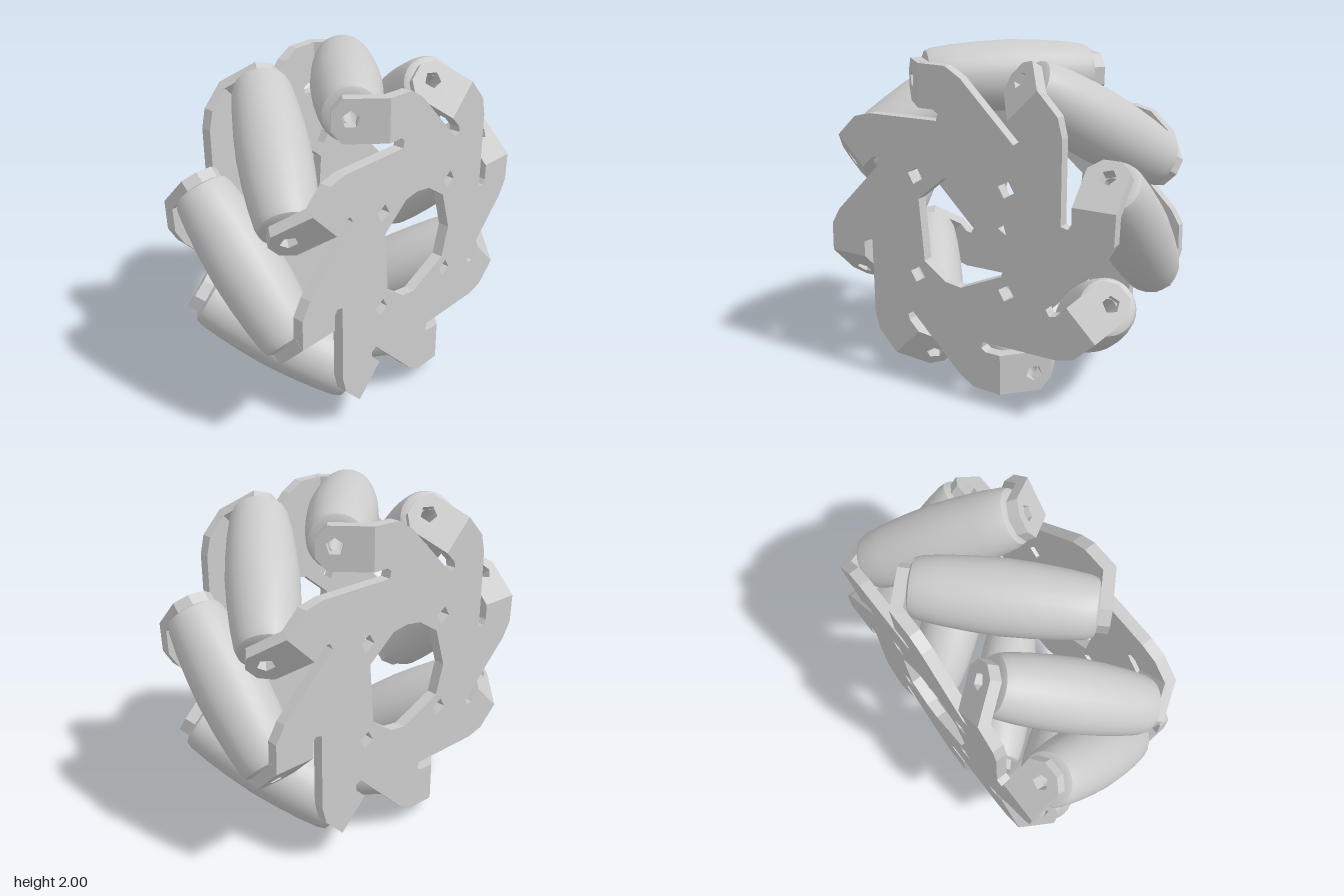
import * as THREE from 'three';
import { toCreasedNormals } from 'three/addons/utils/BufferGeometryUtils.js';

const COUNT = 8;
const STEP = (Math.PI * 2) / COUNT;
const HALF_WIDTH = 0.52; // outer face of a side plate
const THICK = 0.065; // sheet thickness
const BEND = 0.25; // where each tab folds inward
const PIVOT = 0.8; // distance of roller axes from the hub axis

const material = new THREE.MeshStandardMaterial({ color: 0xcccccc });
const toPoints = (list) => list.map(([a, b]) => new THREE.Vector2(a, b));

// Small polygonal hole
function polygonHole(cx, cy, r, sides, turn) {
  const pts = [];
  for (let i = 0; i < sides; i++) {
    const a = turn + (i / sides) * Math.PI * 2;
    pts.push(new THREE.Vector2(cx + r * Math.cos(a), cy + r * Math.sin(a)));
  }
  return new THREE.Path(pts);
}

const extrude = (shape) => new THREE.ExtrudeGeometry(shape, { depth: THICK, bevelEnabled: false });

// Flat side plate: one arm outline repeated around the hub, cut by a relief slit under each arm
function plateGeometry() {
  const arm = [
    [0.08, 0.905], [BEND, 0.91], [BEND, 0.67], [0.16, 0.67],
    [0.13, 0.65], [0.14, 0.61], [0.59, 0.61],
  ];
  const outline = [];
  for (let k = 0; k < COUNT; k++) {
    const c = Math.cos(k * STEP), s = Math.sin(k * STEP);
    arm.forEach(([u, v]) => outline.push(new THREE.Vector2(u * c + v * s, v * c - u * s)));
  }
  const shape = new THREE.Shape(outline);
  shape.holes.push(new THREE.Path(toPoints([
    [0.27, 0.16], [0.1, 0.3], [0, 0.315], [-0.1, 0.3], [-0.24, 0.21],
    [-0.31, -0.02], [-0.26, -0.2], [0, -0.315], [0.1, -0.3], [0.24, -0.2],
  ])));
  for (const u of [-0.29, 0.29]) {
    for (const v of [-0.29, 0.29]) shape.holes.push(polygonHole(u, v, 0.05, 4, 0.25));
  }
  return extrude(shape).rotateY(-Math.PI / 2).translate(HALF_WIDTH, 0, 0);
}

// Folded tab with chamfered end and axle hole, square to its roller
function tabGeometry() {
  const shape = new THREE.Shape(toPoints([
    [0, 0.67], [0.24, 0.67], [0.3, 0.74], [0.3, 0.84], [0.24, 0.91], [0, 0.91],
  ]));
  shape.holes.push(polygonHole(0.2, PIVOT, 0.048, 5, 0.3));
  return extrude(shape).rotateY(-Math.PI * 0.75).translate(HALF_WIDTH, 0, BEND);
}

// Barrel roller with rounded rims and an axle bore, set at 45 degrees
function rollerGeometry() {
  const half = [[0.045, 0.48], [0.125, 0.48], [0.152, 0.468], [0.166, 0.43], [0.182, 0.31], [0.194, 0.16]];
  const profile = [
    ...half.map(([r, t]) => [r, -t]),
    [0.2, 0],
    ...half.slice().reverse(),
    [half[0][0], -half[0][1]],
  ];
  const geo = new THREE.LatheGeometry(toPoints(profile), 28);
  return toCreasedNormals(geo, 0.75)
    .rotateX(Math.PI / 2)
    .rotateY(Math.PI / 4)
    .translate(0, PIVOT, 0);
}

export function createModel() {
  const model = new THREE.Group();
  model.name = 'rollerWheel';
  const plateGeo = plateGeometry();
  const tabGeo = tabGeometry();
  const rollerGeo = rollerGeometry();

  const add = (parent, geometry, name, turn = 0) => {
    const mesh = new THREE.Mesh(geometry, material);
    mesh.name = name;
    mesh.rotation.x = turn;
    parent.add(mesh);
  };

  // Two identical side plates, the second turned half way round
  ['leftPlate', 'rightPlate'].forEach((name, i) => {
    const side = new THREE.Group();
    side.name = name;
    side.rotation.y = i * Math.PI;
    add(side, plateGeo, 'plate');
    for (let k = 0; k < COUNT; k++) add(side, tabGeo, 'axleTab', k * STEP);
    model.add(side);
  });

  // Ring of slanted rollers
  const rollers = new THREE.Group();
  rollers.name = 'rollers';
  for (let k = 0; k < COUNT; k++) add(rollers, rollerGeo, 'roller', k * STEP);
  model.add(rollers);

  model.position.y = 1;
  return model;
}
